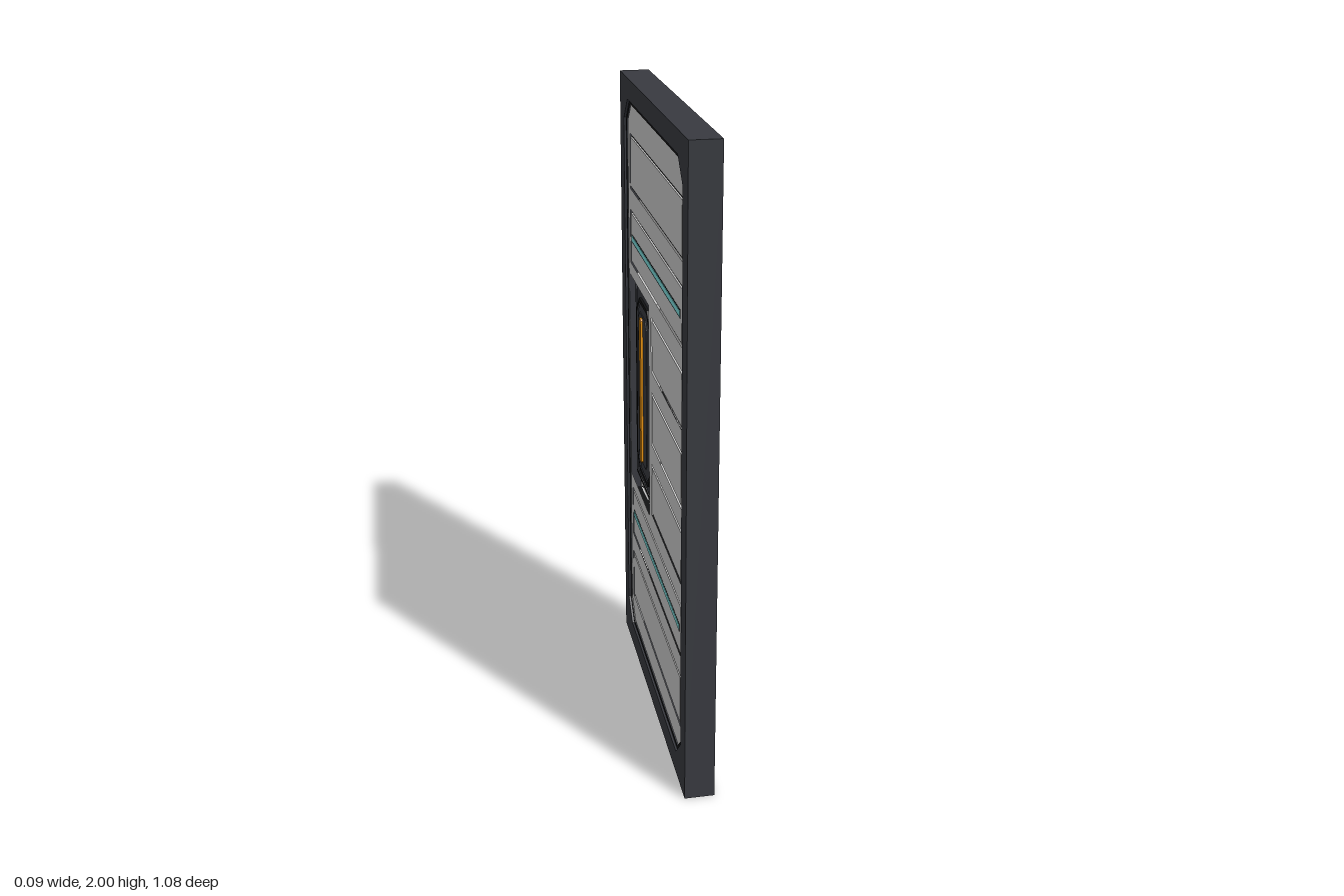
import * as THREE from 'three';

const mat = (color) => new THREE.MeshStandardMaterial({ color, flatShading: true });

export function createModel() {
  const door = new THREE.Group();
  door.name = 'panelDoor';
  const grey = mat(0xcccccc), dark = mat(0x383a40), black = mat(0x121314);
  const cyan = mat(0x7fe0e0), orange = mat(0xe8920f);

  // Rectangle with cut corners; u runs across the door, s mirrors it for the other face
  const outline = (s, u0, u1, y0, y1, c = 0) => {
    const p = c
      ? [[u0 + c, y0], [u1 - c, y0], [u1, y0 + c], [u1, y1 - c], [u1 - c, y1], [u0 + c, y1], [u0, y1 - c], [u0, y0 + c]]
      : [[u0, y0], [u1, y0], [u1, y1], [u0, y1]];
    return p.map(([u, y]) => new THREE.Vector2(s * u, y));
  };
  // Extrude an outline outwards from depth x0 to x1 on side s
  const slab = (parent, name, material, s, pts, holes, x0, x1) => {
    const shape = new THREE.Shape(pts);
    holes.forEach((h) => shape.holes.push(new THREE.Path(h)));
    const g = new THREE.ExtrudeGeometry(shape, { depth: x1 - x0, bevelEnabled: false });
    g.translate(0, 0, x0);
    g.rotateY(s * Math.PI / 2);
    const m = new THREE.Mesh(g, material);
    m.name = name;
    parent.add(m);
  };

  // Outer frame, full thickness
  slab(door, 'frame', dark, 1, outline(1, -0.54, 0.54, 0, 2),
    [outline(1, -0.47, 0.47, 0.075, 1.935, 0.07)], -0.046, 0.046);

  // Tile rows from top to bottom: [centre height, right end]
  const rows = [0.42, 0.42, 0.055, 0.055, 0.055, 0.42, 0.42]
    .map((end, i) => [1.737 - i * 0.245, end]);

  for (const s of [1, -1]) {
    const side = new THREE.Group();
    side.name = s > 0 ? 'leftFace' : 'rightFace';
    door.add(side);
    const rect = (...a) => outline(s, ...a);
    const add = (name, material, pts, holes, x0, x1) => slab(side, name, material, s, pts, holes, x0, x1);

    // Gasket between frame and panel
    add('gasket', black, rect(-0.47, 0.47, 0.075, 1.935, 0.07),
      [rect(-0.456, 0.456, 0.089, 1.921, 0.064)], 0, 0.039);

    // Panel with openings for the tiles and the handle recess
    const tileHoles = rows.map(([y, end]) => rect(-0.425, end, y - 0.088, y + 0.088));
    add('panel', grey, rect(-0.456, 0.456, 0.089, 1.921, 0.064),
      [...tileHoles, rect(0.1, 0.446, 0.645, 1.36)], 0, 0.036);

    // Tiles, each set in a dark groove
    rows.forEach(([y, end], i) => {
      add('grooveFloor', black, tileHoles[i], [], 0, 0.031);
      add('tile', grey, rect(-0.416, end - 0.009, y - 0.079, y + 0.079), [], 0.031, 0.036);
      if (i === 1 || i === 5) {
        add('lightStripSurround', black, rect(-0.399, 0.397, y - 0.013, y + 0.013), [], 0.036, 0.0365);
        add('lightStrip', cyan, rect(-0.395, 0.393, y - 0.009, y + 0.009), [], 0.036, 0.038);
      }
    });

    // Handle recess: floor, trim and mounting plate
    add('recessFloor', grey, rect(0.1, 0.446, 0.645, 1.36), [], 0, 0.01);
    add('recessTrim', black, rect(0.107, 0.44, 0.652, 1.353),
      [rect(0.119, 0.428, 0.664, 1.341)], 0.01, 0.018);
    add('handlePlate', dark, rect(0.119, 0.428, 0.664, 1.341), [], 0.01, 0.016);

    // Handle: stepped chamfered plates with a glowing grip
    add('handleRim', black, rect(0.152, 0.392, 0.697, 1.308, 0.05),
      [rect(0.165, 0.379, 0.71, 1.295, 0.045)], 0.016, 0.024);
    add('handleBase', dark, rect(0.165, 0.379, 0.71, 1.295, 0.045), [], 0.016, 0.021);
    add('handleInset', dark, rect(0.215, 0.36, 0.745, 1.262, 0.025), [], 0.021, 0.024);
    add('gripBar', orange, rect(0.275, 0.304, 0.752, 1.255, 0.006), [], 0.024, 0.031);
  }
  return door;
}
